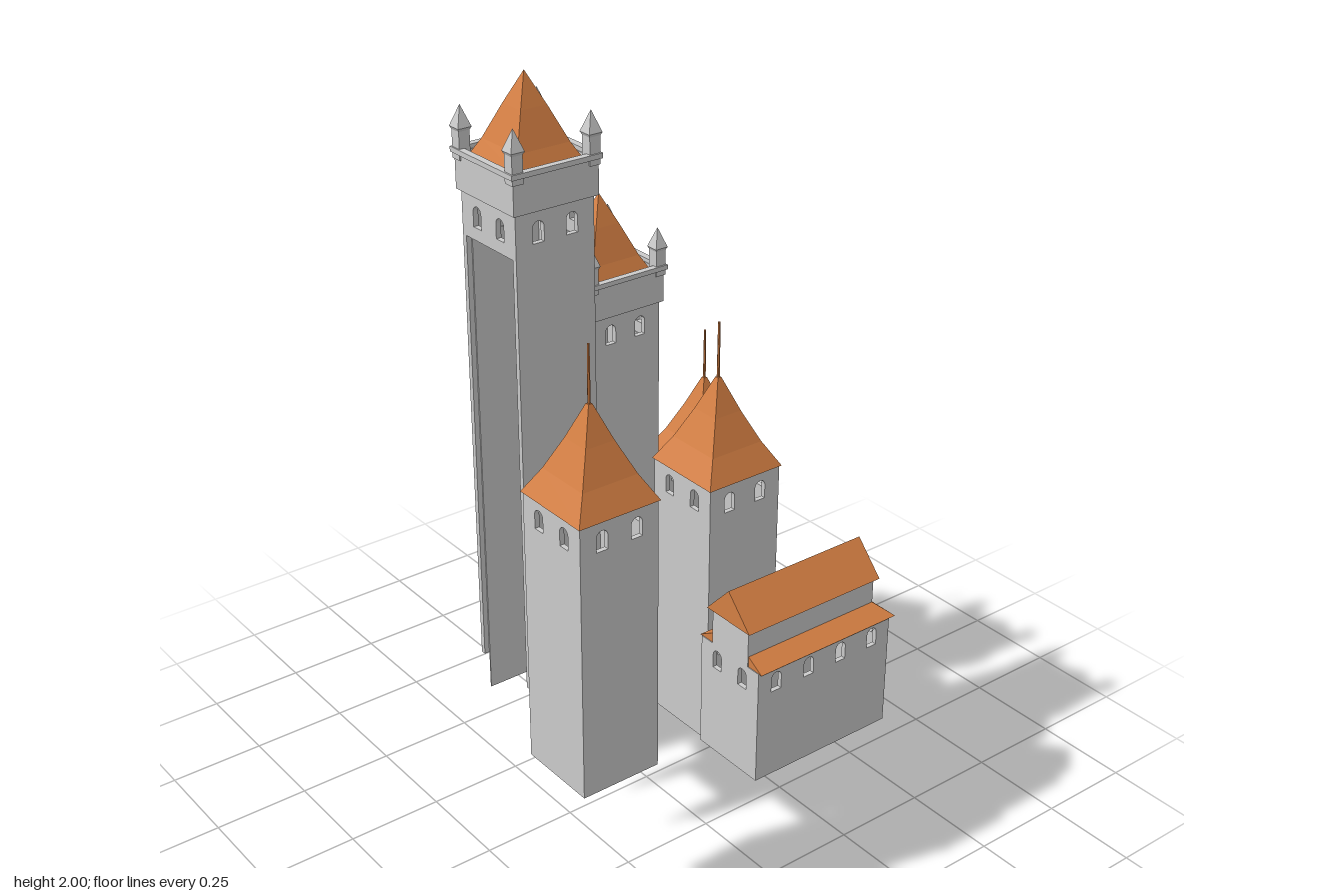
import * as THREE from 'three';

const stone = new THREE.MeshStandardMaterial({ color: 0xcccccc, flatShading: true, side: THREE.DoubleSide });
const tile = new THREE.MeshStandardMaterial({ color: 0xd47f43, flatShading: true, side: THREE.DoubleSide });

function add(parent, name, geometry, material, x = 0, y = 0, z = 0) {
  const mesh = new THREE.Mesh(geometry, material);
  mesh.name = name;
  mesh.position.set(x, y, z);
  parent.add(mesh);
  return mesh;
}

function group(parent, name, x, y, z) {
  const g = new THREE.Group();
  g.name = name;
  g.position.set(x, y, z);
  parent.add(g);
  return g;
}

// Round-headed window opening
function windowHole(x, y, w = 0.03, h = 0.05) {
  const r = w / 2;
  const p = new THREE.Path();
  p.moveTo(x - r, y);
  p.lineTo(x + r, y);
  p.lineTo(x + r, y + h - r);
  p.absarc(x, y + h - r, r, 0, Math.PI, false);
  p.lineTo(x - r, y);
  return p;
}

function wallShape(w, y0, y1, windows, windowY) {
  const s = new THREE.Shape();
  s.moveTo(-w / 2, y0);
  s.lineTo(w / 2, y0);
  s.lineTo(w / 2, y1);
  s.lineTo(-w / 2, y1);
  s.closePath();
  windows.forEach((x) => s.holes.push(windowHole(x, windowY)));
  return s;
}

// One wall whose outer face lies at the given distance; turn 0 faces front
function wall(parent, name, shape, distance, turn, t = 0.012) {
  const g = new THREE.ExtrudeGeometry(shape, { depth: t, bevelEnabled: false, curveSegments: 5 });
  g.translate(0, 0, distance - t);
  g.rotateY(turn * Math.PI / 2);
  return add(parent, name, g, stone);
}

// Square solid from [half width, y] pairs, bottom to top
function squareLathe(profile) {
  const pts = profile.map(([r, y]) => new THREE.Vector2(r * Math.SQRT2, y));
  return new THREE.LatheGeometry(pts, 4, Math.PI / 4);
}

// Plain tower with a flared pyramid roof and a spire
function roofedTower(parent, x, y, z) {
  const g = group(parent, 'roofedTower', x, y, z);
  for (let i = 0; i < 4; i++) {
    wall(g, 'towerWall', wallShape(0.208, 0, 0.695, [-0.046, 0.046], 0.622), 0.104, i);
  }
  add(g, 'towerRoof', squareLathe([[0, 0.694], [0.108, 0.694], [0.073, 0.755], [0.038, 0.832], [0.005, 0.915], [0, 0.917]]), tile);
  add(g, 'spire', new THREE.CylinderGeometry(0.003, 0.004, 0.15, 6), tile, 0, 0.978, 0);
}

// Tall keep: recessed front, overhanging parapet, corner pinnacles
function keep(parent, x, y, z) {
  const g = group(parent, 'keep', x, y, z);
  const half = 0.103, inner = 0.09;
  const windows = [-0.044, 0.044];
  for (let i = 1; i < 4; i++) {
    wall(g, 'keepWall', wallShape(half * 2, 0.1, 1.3, windows, 1.225), half, i, 0.013);
    // Lining that reaches below the outer walls; the front stays open
    wall(g, 'keepLining', wallShape(inner * 2, 0, 1.195, [], 0), inner, i, 0.003);
  }
  const front = new THREE.Shape([
    [-half, 0.1], [-inner, 0.1], [-inner, 1.195], [inner, 1.195],
    [inner, 0.1], [half, 0.1], [half, 1.3], [-half, 1.3],
  ].map(([a, b]) => new THREE.Vector2(a, b)));
  windows.forEach((wx) => front.holes.push(windowHole(wx, 1.225)));
  wall(g, 'keepFront', front, half, 0, 0.013);

  // Parapet with its floor and coping
  for (let i = 0; i < 4; i++) {
    wall(g, 'parapet', wallShape(0.222, 1.3, 1.386, [], 0), 0.111, i);
    wall(g, 'coping', wallShape(0.236, 1.384, 1.396, [], 0), 0.118, i, 0.017);
  }
  add(g, 'parapetBase', new THREE.BoxGeometry(0.222, 0.008, 0.222), stone, 0, 1.304, 0);
  add(g, 'parapetFloor', new THREE.BoxGeometry(0.21, 0.01, 0.21), stone, 0, 1.365, 0);
  for (const sx of [-1, 1]) {
    for (const sz of [-1, 1]) {
      add(g, 'pinnacle', squareLathe([[0, 1.37], [0.014, 1.37], [0.014, 1.435], [0.0175, 1.442], [0, 1.491]]),
        stone, sx * 0.1, 0, sz * 0.1);
    }
  }
  add(g, 'keepRoof', squareLathe([[0, 1.37], [0.087, 1.37], [0.086, 1.385], [0.068, 1.418], [0.034, 1.498], [0, 1.572]]), tile);
}

// Flat four-cornered panels merged in one geometry
function panels(list) {
  const pos = [];
  for (const [a, b, c, d] of list) pos.push(...a, ...b, ...c, ...a, ...c, ...d);
  const g = new THREE.BufferGeometry();
  g.setAttribute('position', new THREE.Float32BufferAttribute(pos, 3));
  g.computeVertexNormals();
  return g;
}

// Long hall: lower storey, skirt roof on three sides, clerestory, gable roof
function hall(parent, x, y, z) {
  const g = group(parent, 'hall', x, y, z);
  const w = 0.206, d = 0.41;
  for (const turn of [0, 2]) {
    wall(g, 'hallEnd', wallShape(w, 0, 0.3, [-0.045, 0.045], 0.235), d / 2, turn);
  }
  for (const turn of [1, 3]) {
    wall(g, 'hallSide', wallShape(d, 0, 0.3, [-0.15, -0.05, 0.05, 0.15], 0.235), w / 2, turn);
  }
  const ox = 0.111, ix = 0.064, zf = 0.203, zo = -0.217, zi = -0.184, lo = 0.299, hi = 0.327;
  const skirt = [
    [[ox, lo, zo], [-ox, lo, zo], [-ix, hi, zi], [ix, hi, zi]],
    [[ox, lo, zo], [ox, lo, zf], [-ox, lo, zf], [-ox, lo, zo]],
  ];
  for (const s of [1, -1]) {
    const slope = [[s * ox, lo, zf], [s * ox, lo, zo], [s * ix, hi, zi], [s * ix, hi, zf]];
    const end = [[s * ix, lo, zf], [s * ox, lo, zf], [s * ix, hi, zf], [s * ix, hi, zf]];
    skirt.push(s > 0 ? slope : slope.reverse(), s > 0 ? end : [end[1], end[0], end[2], end[3]]);
  }
  add(g, 'skirtRoof', panels(skirt), tile);
  add(g, 'clerestory', new THREE.BoxGeometry(ix * 2, 0.1, d / 2 - zi), stone, 0, 0.35, (d / 2 + zi) / 2);
  const gable = new THREE.Shape([[-0.076, 0.395], [0.076, 0.395], [0, 0.476]].map(([a, b]) => new THREE.Vector2(a, b)));
  const roof = new THREE.ExtrudeGeometry(gable, { depth: 0.405, bevelEnabled: false });
  add(g, 'gableRoof', roof, tile, 0, 0, -0.192);
}

export function createModel() {
  const model = new THREE.Group();
  model.name = 'castle';
  [[-0.32, 0.01, -0.442], [-0.456, 0.34, -0.035], [0.225, 0.34, -0.035], [0.374, 0.476, 0.44]]
    .forEach((p) => roofedTower(model, ...p));
  [[0.016, 0.43, 0.338], [-0.223, 0, -0.028]].forEach((p) => keep(model, ...p));
  [[-0.006, 0.34, -0.103], [0.449, 0.365, -0.103]].forEach((p) => hall(model, ...p));
  return model;
}
